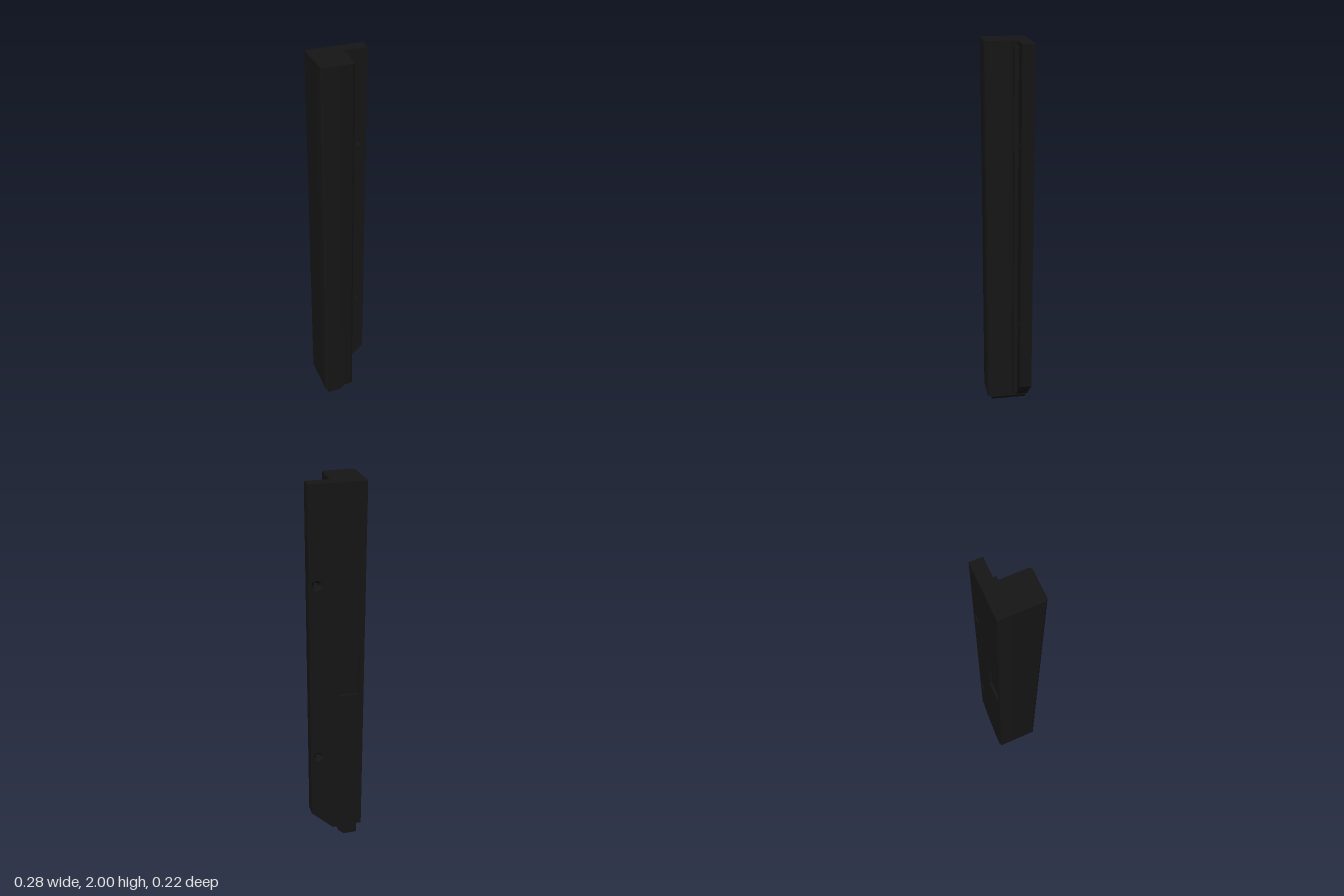
import * as THREE from 'three';
import { toCreasedNormals } from 'three/addons/utils/BufferGeometryUtils.js';

export function createModel() {
  const group = new THREE.Group();
  const black = new THREE.MeshStandardMaterial({ color: 0x151515 });
  const blackInside = new THREE.MeshStandardMaterial({ color: 0x151515, side: THREE.DoubleSide });

  const add = (name, geometry, material = black) => {
    const mesh = new THREE.Mesh(geometry, material);
    mesh.name = name;
    group.add(mesh);
    return mesh;
  };
  const extrude = (shape, depth) =>
    toCreasedNormals(new THREE.ExtrudeGeometry(shape, { depth, bevelEnabled: false, curveSegments: 12 }), 0.6);
  const polygon = (points) => new THREE.Shape(points.map(([x, y]) => new THREE.Vector2(x, y)));

  // Vertical bar from y0 to y1, with its two front edges rounded
  const uprightBar = (x0, x1, zBack, zFront, y0, y1, r) => {
    const s = new THREE.Shape();
    s.moveTo(x0, -zBack);
    s.lineTo(x0, -zFront + r);
    s.absarc(x0 + r, -zFront + r, r, Math.PI, Math.PI * 1.5, false);
    s.lineTo(x1 - r, -zFront);
    s.absarc(x1 - r, -zFront + r, r, -Math.PI / 2, 0, false);
    s.lineTo(x1, -zBack);
    s.closePath();
    return extrude(s, y1 - y0).rotateX(-Math.PI / 2).translate(0, y0, 0);
  };

  // Main post and the thin lip beside it
  add('post', uprightBar(-0.142, 0.02, -0.05, 0.11, 0.06, 2, 0.014));
  add('lip', uprightBar(0.015, 0.051, -0.05, -0.029, 0.09, 1.975, 0.005));

  // Back plate with a slanted lower corner, in two layers
  const back = -0.112, mid = -0.098, front = -0.049;
  const screws = [0.545, 1.515];
  const plate = (radius, pocket) => {
    const s = polygon([[-0.142, 0.06], [0.02, 0.06], [0.14, 0.18], [0.14, 2], [-0.142, 2]]);
    for (const y of screws) s.holes.push(new THREE.Path().absarc(0.1, y, radius, 0, Math.PI * 2, true));
    if (pocket) s.holes.push(polygon([[-0.117, 0.9], [-0.117, 1.135], [-0.01, 1.135], [-0.01, 0.9]]));
    return s;
  };
  add('flange', extrude(plate(0.013, false), front - mid).translate(0, 0, mid));
  add('pocketedBack', extrude(plate(0.027, true), mid - back).translate(0, 0, back));

  // Countersinks opening to the back
  for (const y of screws) {
    add('countersink', new THREE.CylinderGeometry(0.013, 0.027, mid - back, 24, 1, true)
      .rotateX(Math.PI / 2).translate(0.1, y, (mid + back) / 2), blackInside);
  }

  // Chamfered tongue at the foot
  const tongue = polygon([[-0.115, 0], [-0.042, 0], [-0.01, 0.032], [-0.01, 0.065], [-0.115, 0.065]]);
  add('footTongue', extrude(tongue, 0.19).translate(0, 0, -0.11));

  return group;
}
